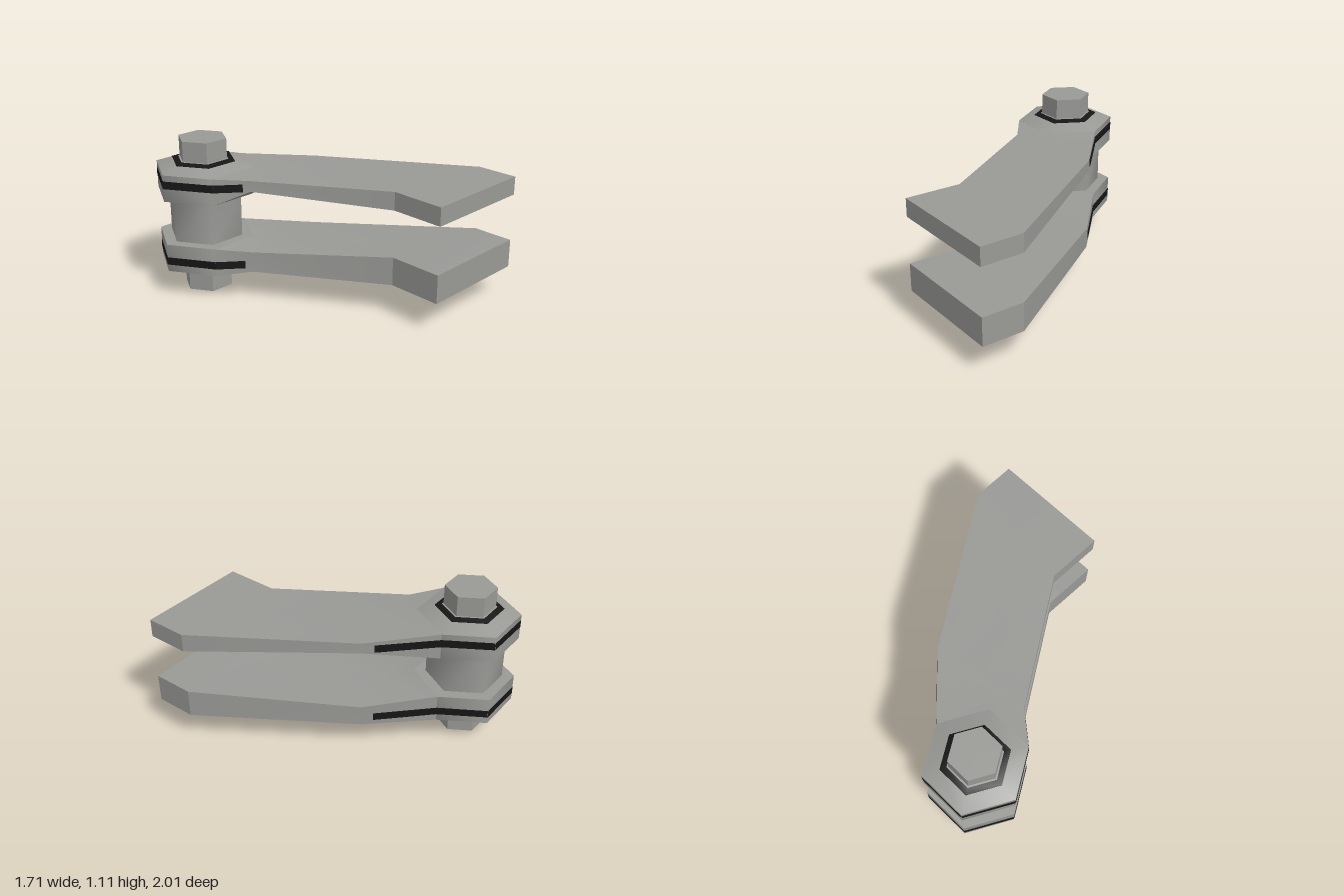
import * as THREE from 'three';
import { toCreasedNormals } from 'three/addons/utils/BufferGeometryUtils.js';

const CX = -0.5, CZ = -0.7; // bolt axis
const steel = new THREE.MeshStandardMaterial({ color: 0x999996 });
steel.name = 'grey steel';
const black = new THREE.MeshStandardMaterial({ color: 0x161616 });
black.name = 'black trim';

function add(parent, name, geometry, material) {
  const mesh = new THREE.Mesh(geometry, material);
  mesh.name = name;
  parent.add(mesh);
  return mesh;
}

// Six-sided turned part around the bolt axis, corners pointing along x
function hexLathe(profile, crease) {
  const pts = profile.map(([r, y]) => new THREE.Vector2(r, y));
  const geo = new THREE.LatheGeometry(pts, 6, Math.PI / 2);
  return toCreasedNormals(geo, crease).translate(CX, 0, CZ);
}

function hexPrism(r, y0, y1, crease) {
  const geo = new THREE.CylinderGeometry(r, r, y1 - y0, 6, 1, false, Math.PI / 2);
  return toCreasedNormals(geo, crease).translate(CX, (y0 + y1) / 2, CZ);
}

// Arm lofted from rows of [left, middle, right], each row with its own heights
function armGeometry(heights) {
  const plan = [
    [[0.01, 1], [0.425, 1], [0.84, 1]],
    [[0.03, 0.61], [0.44, 0.655], [0.85, 0.7]],
    [[-0.48, -0.23], [-0.125, -0.275], [0.23, -0.32]],
    [[-0.677, -0.393], [-0.323, -0.393], [-0.145, -0.7]],
  ];
  const pos = [];
  const at = (i, j, top) => [plan[i][j][0], heights[i][top], plan[i][j][1]];
  const quad = (a, b, c, d) => pos.push(...a, ...b, ...c, ...a, ...c, ...d);
  for (let j = 0; j < 2; j++) {
    quad(at(0, j, 0), at(0, j + 1, 0), at(0, j + 1, 1), at(0, j, 1)); // front end
    for (let i = 0; i < 3; i++) {
      quad(at(i, j, 1), at(i, j + 1, 1), at(i + 1, j + 1, 1), at(i + 1, j, 1)); // top
      quad(at(i, j, 0), at(i + 1, j, 0), at(i + 1, j + 1, 0), at(i, j + 1, 0)); // underside
    }
  }
  for (let i = 0; i < 3; i++) {
    quad(at(i, 2, 0), at(i + 1, 2, 0), at(i + 1, 2, 1), at(i, 2, 1)); // right edge
    quad(at(i, 0, 0), at(i, 0, 1), at(i + 1, 0, 1), at(i + 1, 0, 0)); // left edge
  }
  const geo = new THREE.BufferGeometry();
  geo.setAttribute('position', new THREE.Float32BufferAttribute(pos, 3));
  return toCreasedNormals(geo, 0.4);
}

// Thin black strip following the outer edge of the boss and neck
function addBand(parent, y) {
  const path = [[-0.52, -0.263], [-0.677, -0.393], [-0.855, -0.7], [-0.677, -1.005],
    [-0.323, -1.005], [-0.145, -0.7], [0.17, -0.381]];
  for (let i = 0; i < path.length - 1; i++) {
    const [x0, z0] = path[i], [x1, z1] = path[i + 1];
    const dx = x1 - x0, dz = z1 - z0;
    const strip = add(parent, 'edgeBand', new THREE.BoxGeometry(Math.hypot(dx, dz), 0.054, 0.008), black);
    strip.position.set((x0 + x1) / 2, y, (z0 + z1) / 2);
    strip.rotation.y = Math.atan2(-dz, dx);
  }
}

// One link: boss, arm, edge band, seal ring and bolt head
function addLink(parent, name, o) {
  const link = new THREE.Group();
  link.name = name;
  const s = o.side; // +1: cone and bolt point up, -1: down
  const ordered = (p) => (s > 0 ? p : p.slice().reverse());
  add(link, 'boss', hexLathe(ordered([
    [0.1, o.inner], [0.355, o.inner], [0.355, o.rim], [0.235, o.rim + s * 0.038],
    [0.175, o.tip], [0.1, o.tip]]), 1.1), steel);
  add(link, 'sealRing', hexLathe(ordered([
    [0.235, o.rim + s * 0.036], [0.235, o.rim + s * 0.042],
    [0.19, o.tip - s * 0.001], [0.19, o.tip - s * 0.007]]), 1.1), black);
  add(link, 'arm', armGeometry(o.heights), steel);
  addBand(link, o.band);
  add(link, 'boltHead', hexPrism(0.177, ...o.bolt, 0.3), steel);
  parent.add(link);
}

export function createModel() {
  const model = new THREE.Group();
  model.name = 'linkAssembly';

  addLink(model, 'upperLink', {
    side: 1, inner: 0.72, rim: 0.91, tip: 0.965, band: 0.84, bolt: [0.95, 1.11],
    heights: [[0.76, 0.89], [0.76, 0.89], [0.813, 0.89], [0.72, 0.91]],
  });
  addLink(model, 'lowerLink', {
    side: -1, inner: 0.4, rim: 0.2, tip: 0.145, band: 0.278, bolt: [0, 0.16],
    heights: [[0.22, 0.423], [0.22, 0.423], [0.22, 0.367], [0.2, 0.4]],
  });

  // Pin sleeve between the two bosses
  add(model, 'pinSleeve', hexPrism(0.27, 0.395, 0.725, 1.1), steel);
  return model;
}
